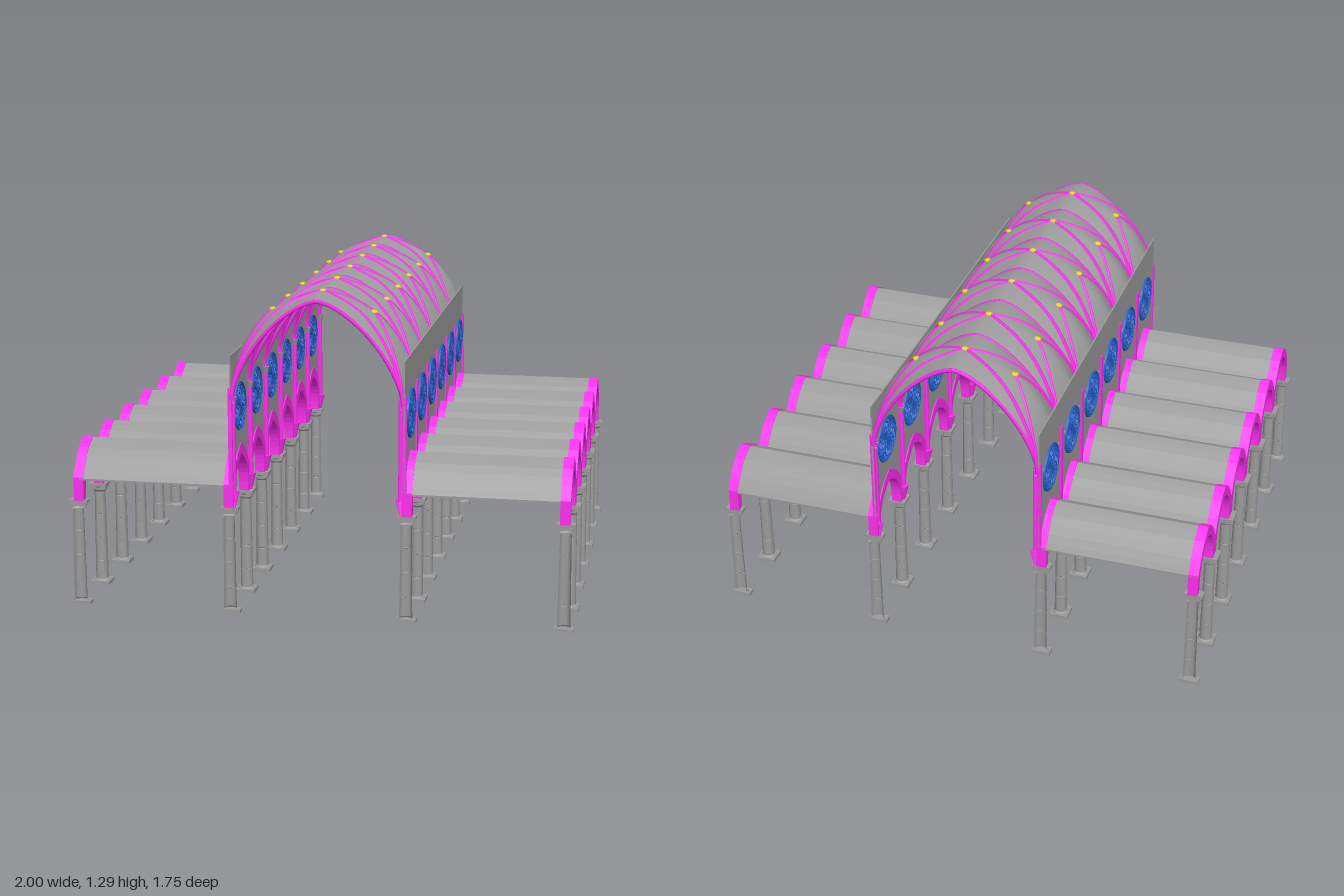
import * as THREE from 'three';
import { toCreasedNormals } from 'three/addons/utils/BufferGeometryUtils.js';

const BAYS = 6, HALF = 0.865, BAY = (2 * HALF) / BAYS, HB = BAY / 2;
const NAVE = 0.335, AISLE = 0.963, INNER = 0.35;

const mat = (color) => new THREE.MeshStandardMaterial({ color, side: THREE.DoubleSide });
const stone = mat(0x9b9b9b), magenta = mat(0xff30f0), blue = mat(0x2460c8), yellow = mat(0xe8d020);

const bayCentres = Array.from({ length: BAYS }, (_, i) => -HALF + HB + i * BAY);
const bayLines = Array.from({ length: BAYS + 1 }, (_, i) => -HALF + i * BAY);
const v2 = (a) => a.map(([x, y]) => new THREE.Vector2(x, y));

function add(parent, name, geometry, material, x = 0, y = 0, z = 0) {
  const mesh = new THREE.Mesh(geometry, material);
  mesh.name = name;
  mesh.position.set(x, y, z);
  parent.add(mesh);
  return mesh;
}

// Pointed curve over one bay, mirrored and repeated along the length
function arcadeLine(half, steps) {
  const left = new THREE.SplineCurve(v2(half)).getPoints(steps);
  const bay = [...left, ...left.slice(0, -1).reverse().map((p) => new THREE.Vector2(-p.x, p.y))];
  return bayCentres.flatMap((c) => bay.map((p) => new THREE.Vector2(p.x + c, p.y)));
}
const outerLine = arcadeLine([[-HB, 0.525], [-0.11, 0.577], [-0.06, 0.63], [0, 0.66]], 6);
const innerLine = arcadeLine([[-0.114, 0.43], [-0.113, 0.48], [-0.1, 0.53], [-0.065, 0.579], [0, 0.617]], 10);

// Extrude a (z, y) outline across x, centred on x = 0
function across(shape, depth) {
  const g = new THREE.ExtrudeGeometry(shape, { depth, bevelEnabled: false, curveSegments: 20 });
  return g.translate(0, 0, -depth / 2).rotateY(-Math.PI / 2);
}

// Angular range kept at a bay line: end pieces are cut in half
function cut(z) {
  if (z > HALF - 0.01) return [Math.PI / 2, Math.PI];
  if (z < -HALF + 0.01) return [-Math.PI / 2, Math.PI];
  return [0, Math.PI * 2];
}
function cutBox(w, h, d, z) {
  const s = Math.abs(z) > HALF - 0.01 ? Math.sign(z) : 0;
  return new THREE.BoxGeometry(w, h, s ? d / 2 : d).translate(0, 0, (-s * d) / 4);
}

// Column: square plinth, jointed tapering shaft, stepped capital
function column(x, z) {
  const g = new THREE.Group();
  g.name = 'column';
  g.position.set(x, 0, z);
  const [start, length] = cut(z);
  const profile = [[0.034, 0.014], [0.032, 0.019], [0.026, 0.023]];
  for (const y of [0.1, 0.2, 0.3]) {
    const r = 0.026 - y * 0.01;
    profile.push([r, y - 0.0015], [r - 0.001, y], [r, y + 0.0015]);
  }
  profile.push([0.022, 0.395], [0.028, 0.402], [0.028, 0.408], [0.034, 0.42]);
  const shaft = new THREE.LatheGeometry(v2(profile), length > 4 ? 16 : 8, start, length);
  add(g, 'shaft', toCreasedNormals(shaft, 0.5), stone);
  add(g, 'plinth', cutBox(0.076, 0.015, 0.076, z), stone, 0, 0.0075);
  add(g, 'capital', cutBox(0.06, 0.012, 0.06, z), stone, 0, 0.414);
  add(g, 'abacus', cutBox(0.072, 0.013, 0.072, z), stone, 0, 0.4265);
  return g;
}

// Vault height: u runs from ridge to wall, v from bay centre to bay line
const rise = (t) => Math.pow(Math.max(0, 1 - Math.pow(t, 1.5)), 0.65);
function vaultHeight(u, v) {
  const transverse = 0.87 + 0.393 * rise(u);
  const middle = 1.28 - 0.25 * (0.4 * u + 0.6 * u ** 4);
  const drop = 0.35 * v + 0.65 * (1 - rise(v));
  return middle + (transverse - middle) * drop;
}

function vaultGeometry() {
  const g = new THREE.PlaneGeometry(2, 2, 32, 20), p = g.attributes.position;
  const ease = (t) => 1 - (1 - Math.min(1, Math.abs(t))) ** 2;
  for (let i = 0; i < p.count; i++) {
    const a = p.getX(i), b = -p.getY(i), u = ease(a), v = ease(b);
    p.setXYZ(i, Math.sign(a) * u * NAVE, vaultHeight(u, v), Math.sign(b) * v * HB);
  }
  return toCreasedNormals(g, 0.6);
}

// Rib following the vault, straight in plan, between two (u, v) points
function rib(u0, v0, u1, v1, radius) {
  const pts = [];
  for (let i = 0; i <= 16; i++) {
    const t = (i / 16) ** 2, u = u0 + (u1 - u0) * t, v = v0 + (v1 - v0) * t;
    pts.push(new THREE.Vector3(u * NAVE, vaultHeight(Math.abs(u), Math.abs(v)) - 0.003, v * HB));
  }
  return new THREE.TubeGeometry(new THREE.CatmullRomCurve3(pts), 24, radius, 6);
}

// Deep tracery of overlapping circles inside a ring, facing x
function rosette() {
  const g = new THREE.Group();
  g.name = 'roseWindow';
  const ring = new THREE.TorusGeometry(0.094, 0.004, 8, 40).rotateY(Math.PI / 2).scale(2.5, 1, 1);
  const circle = new THREE.TorusGeometry(0.046, 0.0028, 8, 24).rotateY(Math.PI / 2).scale(3, 1, 1);
  add(g, 'ring', ring, blue);
  for (let i = 0; i < 12; i++) {
    const a = (i / 12) * Math.PI * 2;
    add(g, 'tracery', circle, blue, 0, Math.sin(a) * 0.047, Math.cos(a) * 0.047);
  }
  return g;
}

export function createModel() {
  const model = new THREE.Group();
  model.name = 'gothicHall';

  // Shared outlines of arcade, clerestory wall and aisle vault
  const arcade = across(new THREE.Shape([
    ...outerLine, new THREE.Vector2(HALF, 0.43), ...[...innerLine].reverse(), new THREE.Vector2(-HALF, 0.43),
  ]), 0.04);
  const wallShape = new THREE.Shape([...outerLine, ...v2([[HALF, 1.04], [-HALF, 1.04]])]);
  for (const c of bayCentres) wallShape.holes.push(new THREE.Path().absarc(c, 0.81, 0.096, 0, Math.PI * 2, true));
  const wall = across(wallShape, 0.006);
  const lowered = (d) => outerLine.map((p) => new THREE.Vector2(p.x, p.y - d));
  const aisleVault = across(new THREE.Shape([...lowered(0.003), ...lowered(0.01).reverse()]), 0.6);

  for (const s of [-1, 1]) {
    add(model, 'outerArcade', arcade, magenta, s * 0.959);
    add(model, 'innerArcade', arcade, magenta, s * 0.351);
    add(model, 'aisleVault', aisleVault, stone, s * 0.655);
    add(model, 'clerestoryWall', wall, stone, s * 0.339);

    for (const c of bayCentres) {
      const window = rosette();
      window.position.set(s * 0.341, 0.81, c);
      model.add(window);
      for (const k of [-1, 1]) {
        add(model, 'headStop', new THREE.BoxGeometry(0.012, 0.012, 0.01), stone, s * 0.341, 0.855, c + k * 0.098);
      }
    }

    for (const z of bayLines) {
      model.add(column(s * AISLE, z), column(s * INNER, z));
      // Pilaster outside, vaulting shaft on a tapered corbel inside
      const [start, length] = cut(z);
      add(model, 'pilaster', cutBox(0.016, 0.39, 0.023, z), magenta, s * 0.341, 0.715, z);
      add(model, 'vaultingShaft',
        new THREE.CylinderGeometry(0.011, 0.011, 0.4, 8, 1, false, start, length), magenta, s * 0.329, 0.69, z);
      add(model, 'corbel',
        new THREE.CylinderGeometry(0.023, 0.006, 0.07, 8, 1, false, start, length), magenta, s * 0.33, 0.465, z);
      add(model, 'shaftCapital',
        new THREE.CylinderGeometry(0.017, 0.011, 0.025, 8, 1, false, start, length), stone, s * 0.329, 0.865, z);
    }
  }

  // Nave vault with diagonal ribs, secondary ribs and bosses
  const vault = vaultGeometry();
  const boss = new THREE.SphereGeometry(0.013, 12, 8).scale(1.3, 0.8, 1);
  const ribs = [];
  for (const a of [-1, 1]) for (const b of [-1, 1]) {
    ribs.push(['diagonalRib', rib(a, b, 0, 0, 0.0085)], ['secondaryRib', rib(a, b, a * 0.59, 0, 0.0075)]);
  }
  for (const c of bayCentres) {
    add(model, 'naveVault', vault, stone, 0, 0, c);
    for (const [name, geometry] of ribs) add(model, name, geometry, magenta, 0, 0, c);
    for (const u of [-0.59, 0, 0.59]) {
      add(model, 'boss', boss, yellow, u * NAVE, vaultHeight(Math.abs(u), 0) - 0.004, c);
    }
  }

  // Transverse ribs on every bay line, kept inside the end planes
  for (const s of [-1, 1]) {
    const half = rib(s, 1, 0, 1, 0.0085).translate(0, 0, -HB);
    for (const z of bayLines) {
      add(model, 'transverseRib', half, magenta, 0, 0, THREE.MathUtils.clamp(z, -HALF + 0.006, HALF - 0.006));
    }
  }
  return model;
}
